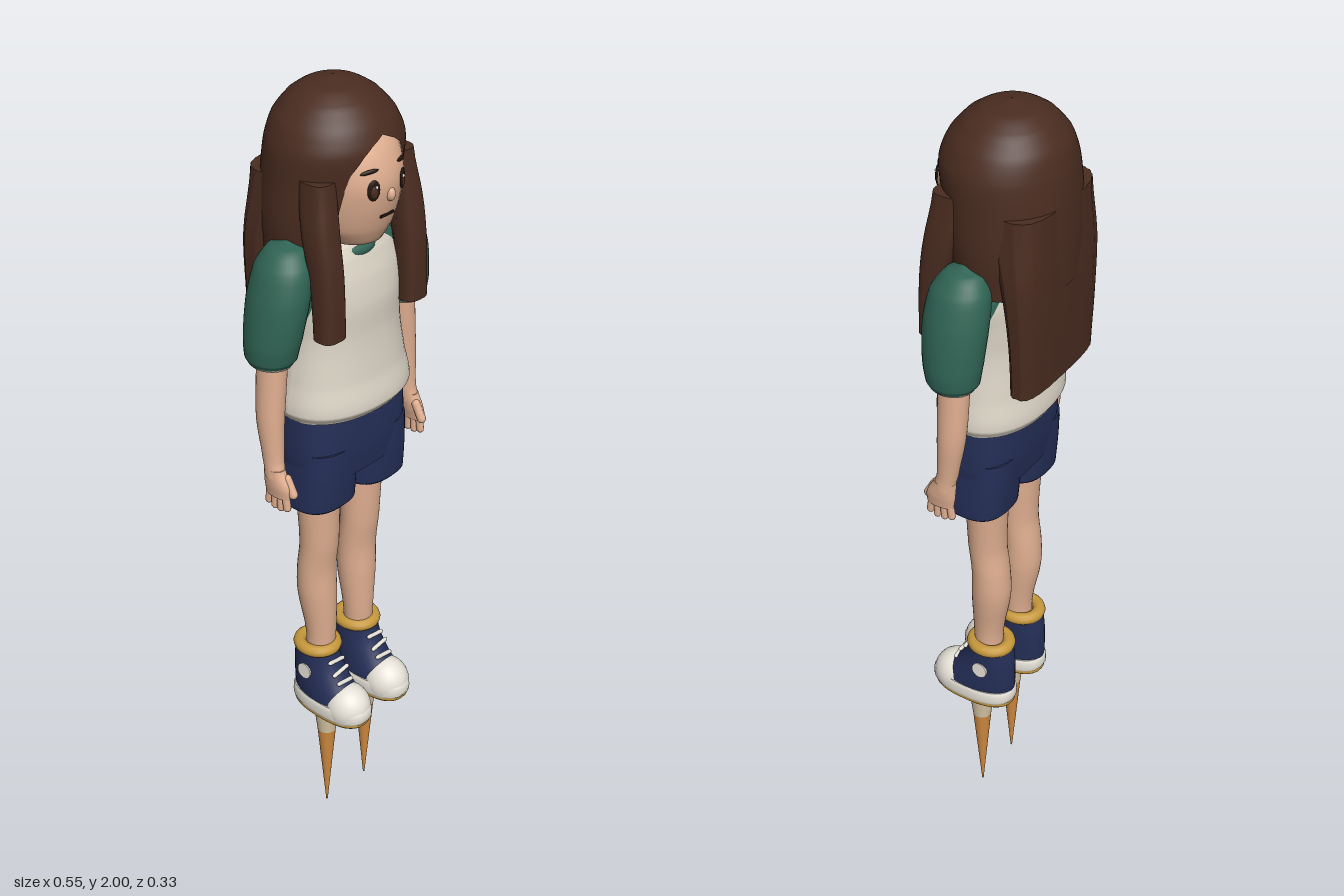
import * as THREE from 'three';

const paint = (name, color, side = THREE.FrontSide) => {
  const m = new THREE.MeshStandardMaterial({ color, side });
  m.name = name;
  return m;
};

// Section = [y, centreX, centreZ, radiusX, radiusZ]; t runs over the list, smoothly interpolated
function sectionAt(list, t) {
  const i = Math.min(Math.floor(t), list.length - 2), f = t - i;
  const at = (k) => list[Math.max(0, Math.min(list.length - 1, k))];
  const [a, b, c, d] = [at(i - 1), at(i), at(i + 1), at(i + 2)];
  return b.map((v, k) => k === 0 ? v + (c[0] - v) * f
    : v + 0.5 * f * (c[k] - a[k] + f * (2 * a[k] - 5 * v + 4 * c[k] - d[k] + f * (3 * (v - c[k]) + d[k] - a[k]))));
}

// Skin of stacked superellipses; from/to give the angular range (0 = front, towards +x)
function loft(list, { p = 2, sub = 4, segs = 32, from, to, ripple = 0 } = {}) {
  const open = !!from, rows = (list.length - 1) * sub, cols = open ? segs + 1 : segs;
  const pos = [], idx = [];
  const pw = (v) => Math.sign(v) * Math.abs(v) ** (2 / p);
  for (let r = 0; r <= rows; r++) {
    const [y, cx, cz, rx, rz] = sectionAt(list, r / sub);
    const a0 = open ? from(y) : 0, a1 = open ? to(y) : Math.PI * 2;
    for (let c = 0; c < cols; c++) {
      const a = a0 + (a1 - a0) * c / segs, k = 1 + ripple * Math.cos(a * 22);
      pos.push(cx + rx * k * pw(Math.sin(a)), y, cz + rz * k * pw(Math.cos(a)));
    }
  }
  for (let r = 0; r < rows; r++) for (let c = 0; c < segs; c++) {
    const a = r * cols + c, b = r * cols + (c + 1) % cols;
    idx.push(a, b, b + cols, a, b + cols, a + cols);
  }
  if (!open) for (const r of [0, rows]) { // flat end caps
    const s = list[r ? list.length - 1 : 0], base = pos.length / 3;
    pos.push(s[1], s[0], s[2]);
    pos.push(...pos.slice(r * cols * 3, (r + 1) * cols * 3));
    for (let c = 0; c < cols; c++) {
      const a = base + 1 + c, b = base + 1 + (c + 1) % cols;
      idx.push(base, ...(r ? [a, b] : [b, a]));
    }
  }
  const g = new THREE.BufferGeometry();
  g.setAttribute('position', new THREE.Float32BufferAttribute(pos, 3));
  g.setIndex(idx);
  g.computeVertexNormals();
  return g;
}

export function createModel() {
  const model = new THREE.Group();
  model.name = 'girl';
  const hair = paint('brown hair', 0x4a2c20, THREE.DoubleSide), skin = paint('skin', 0xdfae90);
  const green = paint('green', 0x2f6353, THREE.DoubleSide), cream = paint('cream cloth', 0xdad3c5, THREE.DoubleSide);
  const navy = paint('navy', 0x252f58), yellow = paint('yellow', 0xc6983c), orange = paint('orange', 0xd08b40);
  const white = paint('white rubber', 0xe8e4da), dark = paint('dark brown', 0x24160f), bone = paint('pale wood', 0xd9c7a6);

  const add = (name, geo, mat, x = 0, y = 0, z = 0) => {
    const m = new THREE.Mesh(geo, mat);
    m.name = name;
    m.position.set(x, y, z);
    model.add(m);
    return m;
  };
  const ball = (name, mat, x, y, z, sx, sy, sz) => {
    const m = add(name, new THREE.SphereGeometry(1, 24, 16), mat, x, y, z);
    m.scale.set(sx, sy, sz);
    return m;
  };
  const side = (s, list) => list.map(([y, x, ...rest]) => [y, x * s, ...rest]);

  // Head, neck and face
  const headRows = [[1.635, 0, 0.05, 0.03, 0.035], [1.65, 0, 0.045, 0.065, 0.068], [1.69, 0, 0.033, 0.097, 0.1],
    [1.75, 0, 0.025, 0.113, 0.125], [1.81, 0, 0.02, 0.119, 0.135], [1.88, 0, 0, 0.118, 0.128], [1.94, 0, -0.01, 0.08, 0.08]];
  add('head', loft(headRows), skin);
  add('neck', new THREE.CylinderGeometry(0.05, 0.056, 0.12, 24), skin, 0, 1.62, 0.005);
  const faceZ = (x, y) => {
    let t = 0;
    while (sectionAt(headRows, t)[0] < y) t += 0.01;
    const [, , cz, rx, rz] = sectionAt(headRows, t);
    return cz + rz * Math.sqrt(1 - (x / rx) ** 2);
  };
  ball('nose', skin, 0, 1.775, faceZ(0, 1.775) - 0.002, 0.011, 0.016, 0.012);
  add('mouth', new THREE.BoxGeometry(0.042, 0.006, 0.006), dark, 0, 1.725, faceZ(0.012, 1.725));
  for (const s of [1, -1]) {
    const detail = (name, mat, x, y, w, h, out = 0, turn = 0) => {
      const m = ball(name, mat, x * s, y, faceZ(x, y) + out, w, h, 0.004);
      m.rotation.set(0, s * 0.42, s * turn);
    };
    detail('eye', dark, 0.046, 1.795, 0.015, 0.024);
    detail('iris', hair, 0.046, 1.792, 0.009, 0.015, 0.002);
    detail('eyeGlint', white, 0.042, 1.803, 0.003, 0.004, 0.004);
    detail('eyebrow', dark, 0.05, 1.836, 0.022, 0.005, 0, -0.12);
  }

  // Hair: cap with a face opening, back panel, front locks
  const openings = [[1.6, 0.66], [1.75, 0.63], [1.83, 0.55], [1.87, 0.36], [1.89, 0.2], [1.902, 0]];
  const opening = (y) => {
    for (let i = 0; i < 5; i++) {
      const [y0, a] = openings[i], [y1, b] = openings[i + 1];
      if (y < y1) return a + (b - a) * Math.max(0, (y - y0) / (y1 - y0));
    }
    return 0;
  };
  add('hairCap', loft([[1.6, 0, -0.03, 0.162, 0.136], [1.7, 0, -0.026, 0.17, 0.143], [1.8, 0, -0.018, 0.166, 0.148],
    [1.87, 0, -0.01, 0.16, 0.148], [1.92, 0, -0.012, 0.139, 0.132], [1.96, 0, -0.014, 0.104, 0.1],
    [1.985, 0, -0.015, 0.064, 0.062], [2, 0, -0.015, 0.001, 0.001]],
  { segs: 64, sub: 6, from: opening, to: (y) => Math.PI * 2 - opening(y) }), hair);
  add('hairBack', loft([[1.36, 0, -0.122, 0.15, 0.036], [1.5, 0, -0.122, 0.157, 0.04], [1.65, 0, -0.112, 0.163, 0.052],
    [1.8, 0, -0.085, 0.148, 0.075]], { p: 3.2, segs: 64, ripple: 0.01 }), hair);
  for (const s of [1, -1]) {
    add('hairLock', loft(side(s, [[1.46, 0.137, 0.102, 0.035, 0.03], [1.6, 0.137, 0.094, 0.035, 0.034],
      [1.7, 0.136, 0.075, 0.036, 0.04], [1.82, 0.125, 0.055, 0.033, 0.04]]), { p: 2.8 }), hair);
  }

  // Raglan shirt: front, back and green shoulder panels share one profile
  const shirt = [[1.228, 0, 0.01, 0.172, 0.118], [1.25, 0, 0.011, 0.182, 0.13], [1.32, 0, 0.01, 0.17, 0.117],
    [1.42, 0, 0.01, 0.156, 0.106], [1.5, 0, 0.01, 0.158, 0.105], [1.56, 0, 0.006, 0.164, 0.098],
    [1.61, 0, 0.003, 0.154, 0.084], [1.64, 0, 0.003, 0.112, 0.07], [1.65, 0, 0.003, 0.06, 0.055]];
  const seam = (y) => Math.PI / 2 - 1.0 * Math.min(1, Math.max(0, (y - 1.43) / 0.2));
  const panel = (name, mat, from, to) => add(name, loft(shirt, { p: 2.2, sub: 6, segs: 24, from, to }), mat);
  const PI = Math.PI;
  panel('shirtFront', cream, (y) => -seam(y), seam);
  panel('shirtBack', cream, (y) => PI - seam(y), (y) => PI + seam(y));
  panel('shoulderPanelLeft', green, seam, (y) => PI - seam(y));
  panel('shoulderPanelRight', green, (y) => PI + seam(y), (y) => 2 * PI - seam(y));
  add('shirtUnderside', loft([[1.226, 0, 0.01, 0.17, 0.116], [1.232, 0, 0.01, 0.172, 0.118]], { sub: 1 }), cream);
  const collar = add('collar', new THREE.TorusGeometry(0.064, 0.014, 12, 40), green, 0, 1.632, 0.012);
  collar.rotation.x = PI / 2 + 0.2;

  // Shorts
  add('shortsHips', loft([[1.06, 0, 0.013, 0.165, 0.088], [1.13, 0, 0.012, 0.172, 0.095], [1.24, 0, 0.01, 0.168, 0.094]], { p: 2.8 }), navy);

  for (const s of [1, -1]) {
    // Sleeve, arm and hand
    add('sleeve', loft(side(s, [[1.4, 0.22, 0, 0.05, 0.054], [1.412, 0.219, 0, 0.056, 0.063], [1.46, 0.214, 0.002, 0.061, 0.071],
      [1.55, 0.197, 0.004, 0.064, 0.077], [1.62, 0.178, 0.003, 0.06, 0.07], [1.66, 0.165, 0, 0.042, 0.046],
      [1.675, 0.16, 0, 0.005, 0.006]])), green);
    add('sleeveLining', loft(side(s, [[1.394, 0.22, 0, 0.045, 0.05], [1.401, 0.22, 0, 0.05, 0.055]]), { sub: 1 }), cream);
    add('arm', loft(side(s, [[1.11, 0.234, 0.02, 0.021, 0.027], [1.15, 0.23, 0.012, 0.024, 0.026], [1.25, 0.227, 0.002, 0.031, 0.034],
      [1.34, 0.22, 0, 0.033, 0.037], [1.42, 0.215, 0, 0.033, 0.038]])), skin);
    add('palm', loft(side(s, [[1.06, 0.236, 0.03, 0.013, 0.036], [1.09, 0.235, 0.028, 0.018, 0.038],
      [1.13, 0.233, 0.018, 0.021, 0.028]]), { segs: 20 }), skin);
    for (let i = 0; i < 4; i++) {
      const f = add('finger', new THREE.CapsuleGeometry(0.0095, 0.042, 4, 10), skin, s * 0.235, 1.05 + (i === 0 || i === 3 ? 0.006 : 0), 0.003 + i * 0.0175);
      f.rotation.x = (1.5 - i) * 0.09;
    }
    const thumb = add('thumb', new THREE.CapsuleGeometry(0.011, 0.04, 4, 10), skin, s * 0.226, 1.09, 0.06);
    thumb.rotation.x = -0.5;

    // Shorts leg and bare leg
    add('shortsLeg', loft(side(s, [[0.977, 0.087, 0.014, 0.079, 0.074], [0.985, 0.087, 0.014, 0.084, 0.081],
      [1.07, 0.086, 0.013, 0.084, 0.088], [1.14, 0.084, 0.012, 0.084, 0.09]]), { p: 2.6 }), navy);
    add('leg', loft(side(s, [[0.5, 0.07, 0.006, 0.037, 0.036], [0.57, 0.069, 0.006, 0.039, 0.039], [0.68, 0.072, -0.003, 0.049, 0.049],
      [0.76, 0.073, -0.003, 0.05, 0.047], [0.84, 0.073, 0.006, 0.05, 0.047], [1.0, 0.076, 0.005, 0.056, 0.052]])), skin);

    // Sock roll and high-top shoe
    const x = 0.073;
    const sock = add('sockRoll', new THREE.TorusGeometry(0.043, 0.016, 12, 32), yellow, s * x, 0.52, -0.002);
    sock.rotation.x = PI / 2;
    sock.scale.y = 1.07;
    add('shoeUpper', loft(side(s, [[0.36, x, 0.045, 0.057, 0.108], [0.39, x, 0.036, 0.057, 0.104], [0.43, x, 0.016, 0.054, 0.084],
      [0.47, x, 0.002, 0.051, 0.069], [0.515, x, -0.004, 0.049, 0.058]])), navy);
    ball('toeCap', white, s * x, 0.368, 0.1, 0.058, 0.062, 0.063);
    add('shoeSole', loft(side(s, [[0.343, x, 0.048, 0.058, 0.112], [0.35, x, 0.048, 0.061, 0.117], [0.373, x, 0.048, 0.061, 0.117],
      [0.382, x, 0.047, 0.058, 0.112]]), { p: 2.4, sub: 2 }), white);
    add('shoeTread', loft(side(s, [[0.329, x, 0.047, 0.052, 0.106], [0.335, x, 0.047, 0.057, 0.112], [0.346, x, 0.047, 0.057, 0.112]]), { p: 2.4, sub: 2 }), yellow);
    for (let i = 0; i < 3; i++) {
      const y = 0.44 + i * 0.025;
      const lace = add('lace', new THREE.CapsuleGeometry(0.0055, 0.046, 4, 8), white, s * x, y, 0.092 - i * 0.015);
      lace.rotation.z = PI / 2 + (i % 2 ? 0.15 : -0.15);
    }
    const badge = add('ankleBadge', new THREE.CylinderGeometry(0.021, 0.021, 0.008, 24), white, s * (x + 0.051), 0.455, 0.001);
    badge.rotation.z = PI / 2 + s * 0.08;

    // Pointed peg under the shoe
    add('pegTop', new THREE.CylinderGeometry(0.034, 0.024, 0.085, 24), bone, s * x, 0.2925, 0.028);
    add('pegPoint', new THREE.CylinderGeometry(0.024, 0.002, 0.25, 24), orange, s * x, 0.125, 0.028);
  }
  return model;
}
